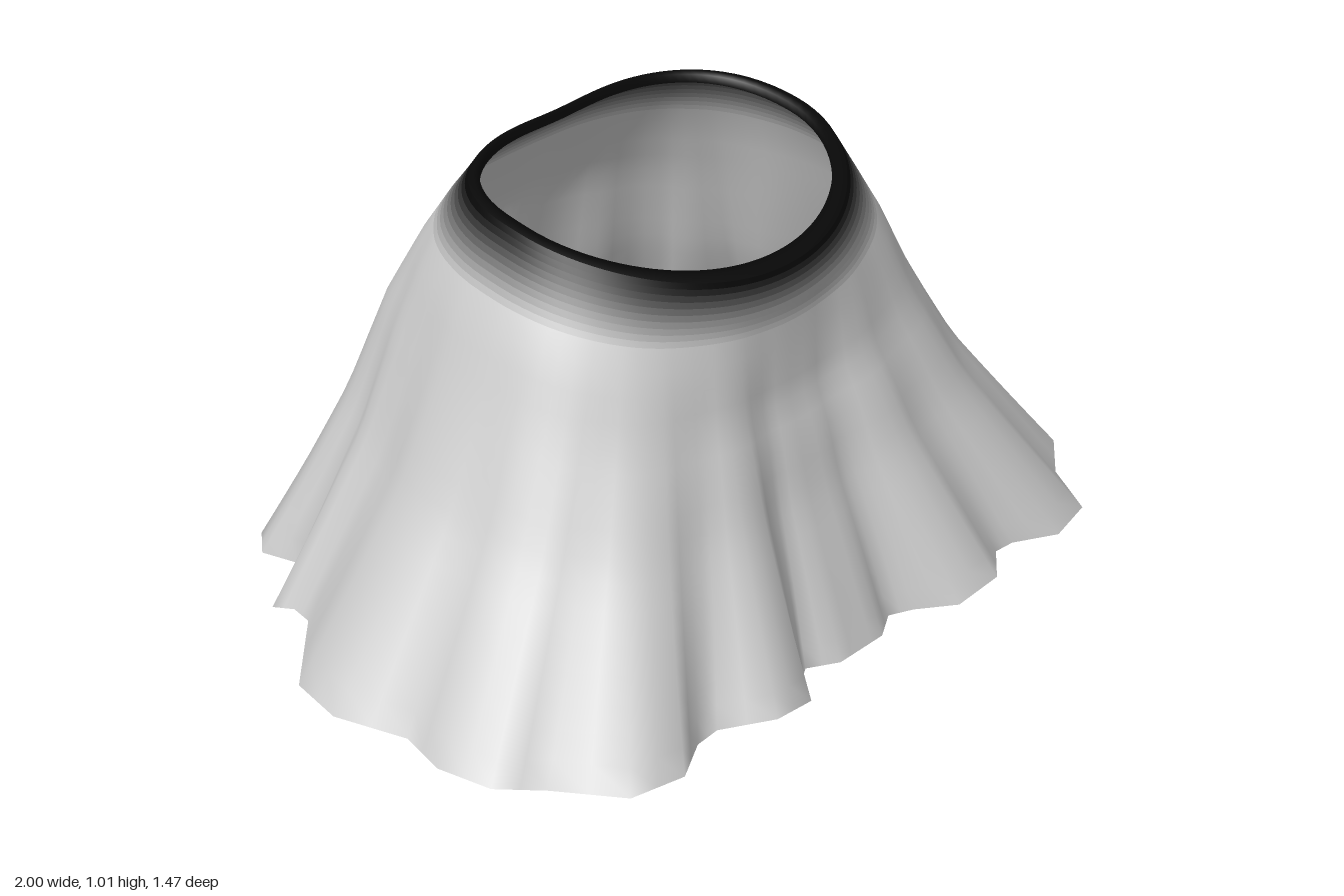
import * as THREE from 'three';

// Right half of the pleated hem [x, z, y], front centre to back centre
const HEM = [
  [0, 0.65, 0.005], [0.07, 0.65, 0.005], [0.14, 0.61, 0.005], [0.19, 0.64, 0.01],
  [0.25, 0.72, 0.03], [0.37, 0.73, 0.05], [0.47, 0.65, 0.035], [0.53, 0.65, 0.03],
  [0.63, 0.705, 0.03], [0.76, 0.675, 0.03], [0.85, 0.53, 0.025], [0.94, 0.455, 0.04],
  [0.97, 0.33, 0.045], [0.94, 0.21, 0.045], [1.0, 0.05, 0.055], [0.97, -0.09, 0.052],
  [0.78, -0.27, 0.04], [0.775, -0.32, 0.045], [0.795, -0.37, 0.038], [0.64, -0.46, 0.04],
  [0.66, -0.555, 0.035], [0.6, -0.625, 0.03], [0.46, -0.615, 0.035], [0.36, -0.72, 0.018],
  [0.25, -0.74, 0.014], [0.19, -0.67, 0.028], [0.14, -0.645, 0.03], [0.07, -0.695, 0.028],
  [0, -0.695, 0.03],
];

// Outward offset of the cloth on its way down: [t, front, side, back]
const BULGE = [
  [0, 0, 0, 0], [0.1, 0, 0, 0.045], [0.2, -0.022, 0, 0.072], [0.35, -0.05, -0.02, 0.095],
  [0.45, -0.042, -0.03, 0.08], [0.6, -0.042, -0.04, 0.05], [0.8, -0.02, -0.02, 0.02], [1, 0, 0, 0],
];

const CENTRE_Z = 0.06;

// Full closed hem loop, mirrored, with each edge split in two
function hemLoop() {
  const mirrored = HEM.slice(1, -1).reverse().map(([x, z, y]) => [-x, z, y]);
  const points = [...HEM, ...mirrored].map(([x, z, y]) => new THREE.Vector3(x, y, z));
  return points.flatMap((p, i) => [p, p.clone().lerp(points[(i + 1) % points.length], 0.5)]);
}

// Averages neighbours along the loop, removing the folds
function smoothLoop(loop, reach) {
  return loop.map((_, i) => {
    const sum = new THREE.Vector3();
    let total = 0;
    for (let k = -reach; k <= reach; k++) {
      const w = 1 + Math.cos((Math.PI * k) / (reach + 1));
      sum.addScaledVector(loop[(i + k + loop.length) % loop.length], w);
      total += w;
    }
    return sum.divideScalar(total);
  });
}

// Waist opening: round at the front, squarer and higher at the back
function waistPoint(p, inset = 0, drop = 0) {
  const angle = Math.atan2(p.x, p.z - CENTRE_Z);
  const s = Math.sin(angle), c = Math.cos(angle);
  const depth = c > 0 ? 0.36 - 1.2 * inset : 0.32 - 0.4 * inset;
  const e = c > 0 ? 2 : 2.6;
  const r = (Math.abs(s / (0.44 - inset)) ** e + Math.abs(c / depth) ** e) ** (-1 / e);
  const x = r * s, z = CENTRE_Z + r * c;
  let y = 0.99 - 0.1 * z - 0.44 * Math.max(z, 0) ** 2;
  if (z < 0) y -= 0.012 * Math.exp(-((x / 0.15) ** 2));
  return new THREE.Vector3(x, y - drop, z);
}

// Bulge at t, blended from the side towards the front or back
function bulgeAt(t, facing) {
  const i = Math.max(1, BULGE.findIndex(([knot]) => knot >= t));
  const a = BULGE[i - 1], b = BULGE[i];
  const f = (t - a[0]) / (b[0] - a[0]);
  const value = (column) => THREE.MathUtils.lerp(a[column], b[column], f);
  return THREE.MathUtils.lerp(value(2), value(facing > 0 ? 1 : 3), facing * facing);
}

// Skins a list of closed rings, ordered top to bottom
function loft(rings, color, name) {
  const n = rings[0].length;
  const index = [];
  for (let r = 0; r < rings.length - 1; r++) {
    for (let j = 0; j < n; j++) {
      const k = (j + 1) % n;
      const a = r * n + j, b = a + n, c = (r + 1) * n + k, d = r * n + k;
      index.push(a, b, c, a, c, d);
    }
  }
  const geometry = new THREE.BufferGeometry().setFromPoints(rings.flat());
  geometry.setIndex(index);
  geometry.computeVertexNormals();
  const material = new THREE.MeshStandardMaterial({ color, side: THREE.DoubleSide });
  const mesh = new THREE.Mesh(geometry, material);
  mesh.name = name;
  return mesh;
}

export function createModel() {
  const group = new THREE.Group();
  group.name = 'skirt';

  const hem = hemLoop();
  const plain = smoothLoop(hem, 7);

  // Ring at t: 0 is the waist, 1 the hem; folds deepen towards the hem
  const ring = (t) => hem.map((p, i) => {
    const top = waistPoint(plain[i]);
    const point = top.clone().lerp(plain[i], t);
    point.addScaledVector(p.clone().sub(plain[i]), t * t);
    const out = new THREE.Vector3(top.x, 0, top.z - CENTRE_Z).normalize();
    return point.addScaledVector(out, bulgeAt(t, out.z));
  });

  // Rolled waist edge
  const edge = [[0.03, 0.02], [0.03, 0], [0.015, -0.004], [0, 0]]
    .map(([inset, drop]) => plain.map((p) => waistPoint(p, inset, drop)));
  group.add(loft(edge, 0x080808, 'waistEdge'));

  // Waistband fading from black into the grey cloth
  const bands = 10, bandEnd = 0.14;
  for (let i = 0; i < bands; i++) {
    const shade = new THREE.Color(0x080808).lerp(new THREE.Color(0xcccccc), (i / bands) ** 1.8);
    const t0 = (i / bands) * bandEnd, t1 = ((i + 1) / bands) * bandEnd;
    group.add(loft([ring(t0), ring(t1)], shade, 'waistband'));
  }

  // Pleated cloth
  const rows = 16;
  const cloth = Array.from({ length: rows + 1 }, (_, i) => ring(bandEnd + (1 - bandEnd) * (i / rows)));
  group.add(loft(cloth, 0xcccccc, 'pleatedCloth'));

  return group;
}
